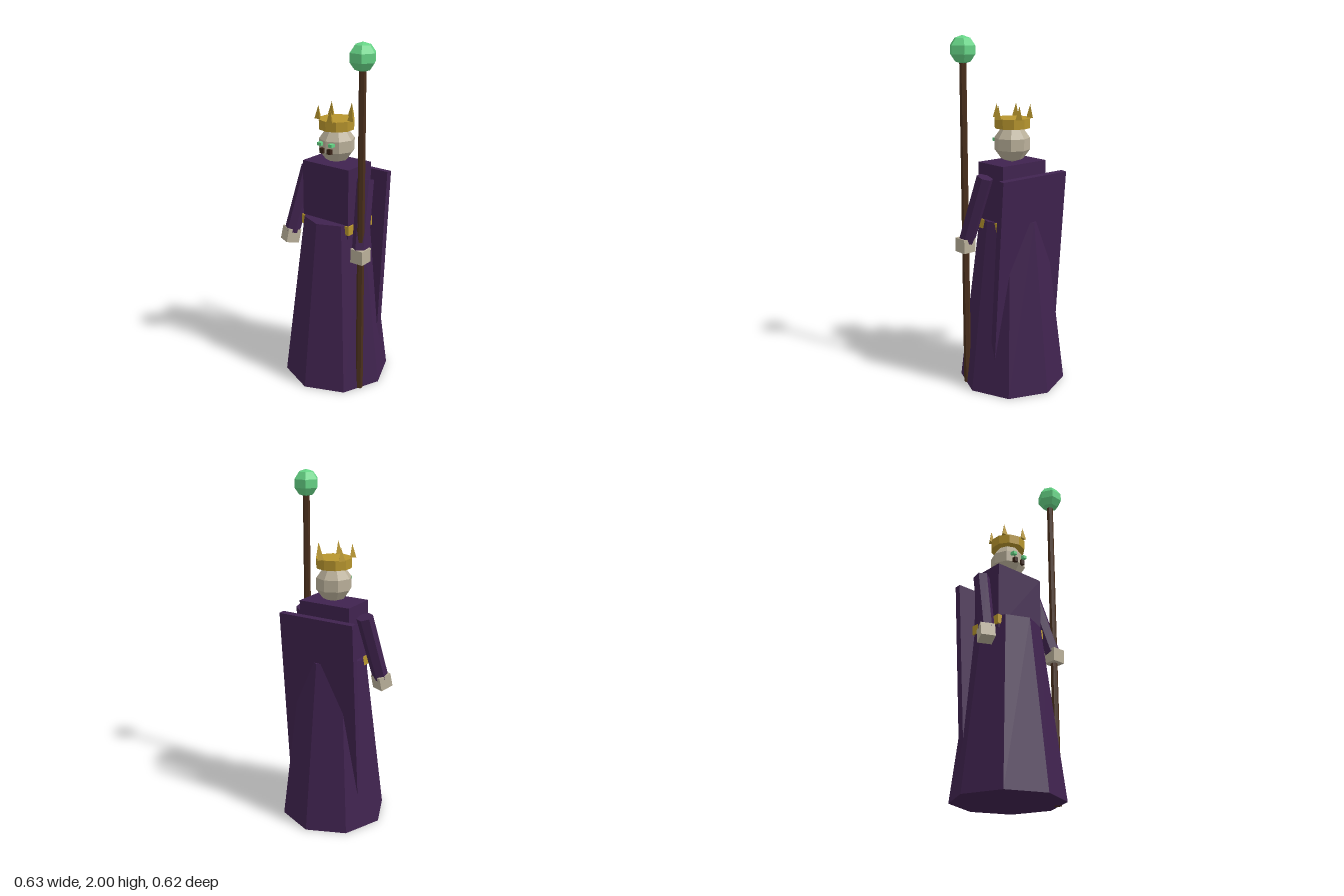
import * as THREE from 'three';

const mat = (name, color) => {
  const m = new THREE.MeshStandardMaterial({ color });
  m.name = name;
  return m;
};

// Faceted normals for the low-poly look
function flat(geometry) {
  const g = geometry.index ? geometry.toNonIndexed() : geometry;
  g.computeVertexNormals();
  return g;
}

export function createModel() {
  const purple = mat('robePurple', 0x40234f);
  const gold = mat('gold', 0xb8962e);
  const bone = mat('bone', 0xbab09a);
  const green = mat('gemGreen', 0x66d486);
  const wood = mat('staffWood', 0x4a2f1c);
  const dark = mat('darkSocket', 0x3a2418);

  const root = new THREE.Group();
  root.name = 'skeletonKing';
  const body = new THREE.Group();
  body.name = 'body';
  body.position.x = -0.01;
  root.add(body);

  const add = (parent, name, geometry, material, x, y, z) => {
    const m = new THREE.Mesh(flat(geometry), material);
    m.name = name;
    m.position.set(x, y, z);
    parent.add(m);
    return m;
  };
  const box = (w, h, d) => new THREE.BoxGeometry(w, h, d);
  const cyl = (top, bottom, h, sides) => new THREE.CylinderGeometry(top, bottom, h, sides);

  // Robe, belt and torso
  add(body, 'robeSkirt', cyl(0.185, 0.308, 0.99, 8), purple, 0, 0.495, 0);
  add(body, 'belt', box(0.336, 0.053, 0.222), gold, 0, 0.9615, 0);
  add(body, 'torso', box(0.318, 0.4, 0.208), purple, 0, 1.11, 0);

  // Cape leans forward into the skirt
  const cape = add(body, 'cape', box(0.467, 1.06, 0.037), purple, 0, 0.721, -0.137);
  cape.rotation.x = -0.075;

  // Arms and hands
  for (const side of [-1, 1]) {
    const shoulder = new THREE.Vector3(side * 0.198, 1.243, 0);
    const wrist = new THREE.Vector3(side * 0.246, 0.865, 0.11);
    const up = shoulder.clone().sub(wrist);
    const mid = shoulder.clone().add(wrist).multiplyScalar(0.5);
    const label = side > 0 ? 'left' : 'right';
    const arm = add(body, label + 'Arm', cyl(0.047, 0.045, up.length(), 6), purple, mid.x, mid.y, mid.z);
    arm.quaternion.setFromUnitVectors(new THREE.Vector3(0, 1, 0), up.normalize());
    const hand = add(body, label + 'Hand', box(0.08, 0.08, 0.08), bone, side * 0.252, 0.845, 0.113);
    if (side < 0) hand.rotation.set(-0.25, -0.4, -0.1);
  }

  // Skull with eyes and nose holes
  const head = new THREE.Group();
  head.name = 'head';
  head.position.y = 1.41;
  body.add(head);
  add(head, 'skull', new THREE.SphereGeometry(0.105, 8, 5), bone, 0, 0, 0);
  for (const side of [-1, 1]) {
    add(head, 'eye', box(0.025, 0.018, 0.03), green, side * 0.037, 0.015, 0.095);
    add(head, 'noseHole', box(0.024, 0.028, 0.03), dark, side * 0.025, -0.022, 0.091);
  }

  // Crown with five spikes
  add(body, 'crownBand', cyl(0.102, 0.1, 0.055, 10), gold, 0, 1.525, 0);
  for (let i = 0; i < 5; i++) {
    const a = (i * Math.PI * 2) / 5;
    const spike = add(body, 'crownSpike', new THREE.ConeGeometry(0.0227, 0.075, 3), gold,
      0.1 * Math.cos(a), 1.588, 0.1 * Math.sin(a));
    spike.rotation.y = Math.PI;
  }

  // Staff with gem
  add(root, 'staff', cyl(0.019, 0.021, 1.855, 6), wood, 0.242, 0.9275, 0.112);
  add(root, 'staffGem', new THREE.SphereGeometry(0.076, 6, 5), green, 0.242, 1.924, 0.112);

  return root;
}
